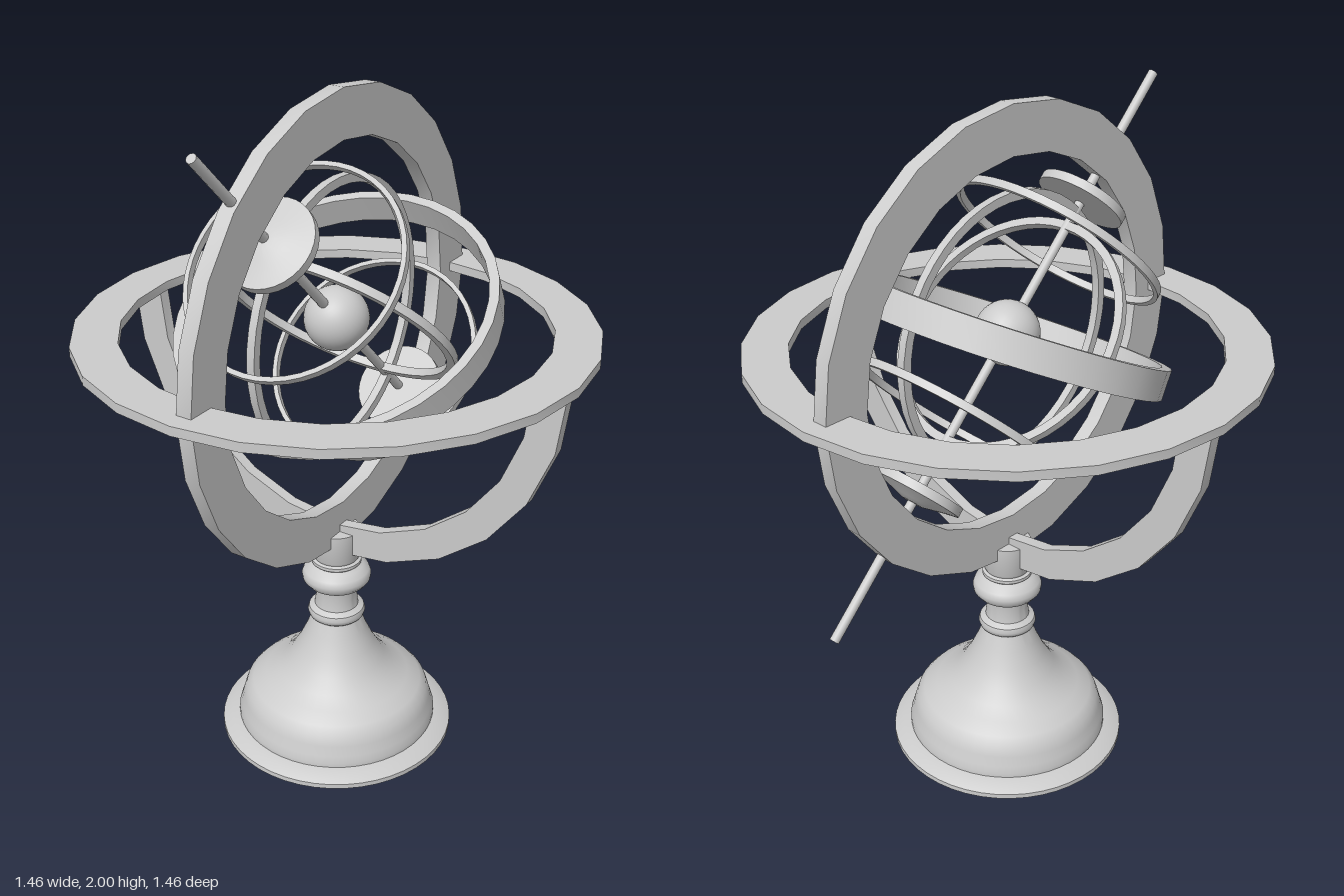
import * as THREE from 'three';
import { toCreasedNormals } from 'three/addons/utils/BufferGeometryUtils.js';

const material = new THREE.MeshStandardMaterial({ color: 0xcccccc });
const CREASE = Math.PI / 5;

function add(parent, name, geometry) {
  const mesh = new THREE.Mesh(geometry, material);
  mesh.name = name;
  parent.add(mesh);
  return mesh;
}

// Turned solid around the y axis, from [radius, height] pairs
function turned(points, segments = 48, start = 0, length = Math.PI * 2) {
  const profile = points.map(([r, y]) => new THREE.Vector2(r, y));
  return toCreasedNormals(new THREE.LatheGeometry(profile, segments, start, length), CREASE);
}

// Ring of rectangular section around the y axis
function ring(outer, inner, height, segments, start, length) {
  const h = height / 2;
  return turned([[inner, -h], [outer, -h], [outer, h], [inner, h], [inner, -h]], segments, start, length);
}

export function createModel() {
  const model = new THREE.Group();
  model.name = 'armillarySphere';
  const ringY = 1.324, centreY = 1.36;

  // Turned foot, stem with two beads, and socket
  add(model, 'pedestal', turned([
    [0, 0], [0.357, 0], [0.357, 0.015], [0.33, 0.03], [0.305, 0.036], [0.305, 0.05],
    [0.298, 0.07], [0.29, 0.1], [0.28, 0.13], [0.26, 0.152], [0.22, 0.175], [0.18, 0.203],
    [0.145, 0.24], [0.115, 0.29], [0.092, 0.34], [0.075, 0.385],
    [0.083, 0.392], [0.087, 0.405], [0.083, 0.418], [0.066, 0.428],
    [0.062, 0.46], [0.066, 0.497], [0.09, 0.505], [0.102, 0.52], [0.104, 0.535], [0.098, 0.552],
    [0.08, 0.565], [0.068, 0.572], [0.075, 0.578], [0.075, 0.588], [0.066, 0.592],
    [0.07, 0.6], [0.07, 0.69], [0, 0.69],
  ]));

  // Fixed outer rings
  add(model, 'horizonRing', ring(0.73, 0.6, 0.027, 24)).position.y = ringY;
  add(model, 'meridianRing', ring(0.678, 0.54, 0.046, 24).rotateZ(Math.PI / 2)).position.y = 1.322;
  add(model, 'supportArc', ring(0.71, 0.615, 0.036, 12, -Math.PI / 2, Math.PI).rotateX(Math.PI / 2))
    .position.y = ringY;

  // Wide tilted band
  const band = add(model, 'eclipticBand', ring(0.46, 0.432, 0.086, 36));
  band.position.y = centreY;
  band.rotation.x = THREE.MathUtils.degToRad(26.6);

  // Inner sphere, tilted with the polar axis
  const sphere = new THREE.Group();
  sphere.name = 'innerSphere';
  sphere.position.y = centreY;
  sphere.rotation.x = Math.PI / 4;
  model.add(sphere);

  add(sphere, 'globe', new THREE.SphereGeometry(0.092, 32, 20));
  add(sphere, 'polarAxis', new THREE.CylinderGeometry(0.014, 0.014, 1.81, 12)).position.y = -0.055;
  add(sphere, 'poleRing', ring(0.402, 0.376, 0.024, 48).rotateZ(Math.PI / 2));
  add(sphere, 'crossRing', ring(0.354, 0.33, 0.024, 48).rotateX(Math.PI / 2));
  add(sphere, 'upperTropicRing', ring(0.317, 0.303, 0.022, 48)).position.y = 0.29;
  add(sphere, 'lowerTropicRing', ring(0.317, 0.303, 0.022, 48)).position.y = -0.272;

  // Domed discs near each end of the axis
  for (const [name, y, flip] of [['upperDisc', 0.434, 0], ['lowerDisc', -0.5, Math.PI]]) {
    const disc = add(sphere, name, turned([
      [0, -0.016], [0.13, -0.016], [0.13, 0.01], [0.1, 0.016], [0.06, 0.026], [0.03, 0.034], [0, 0.034],
    ], 32));
    disc.position.y = y;
    disc.rotation.x = flip;
  }

  return model;
}
